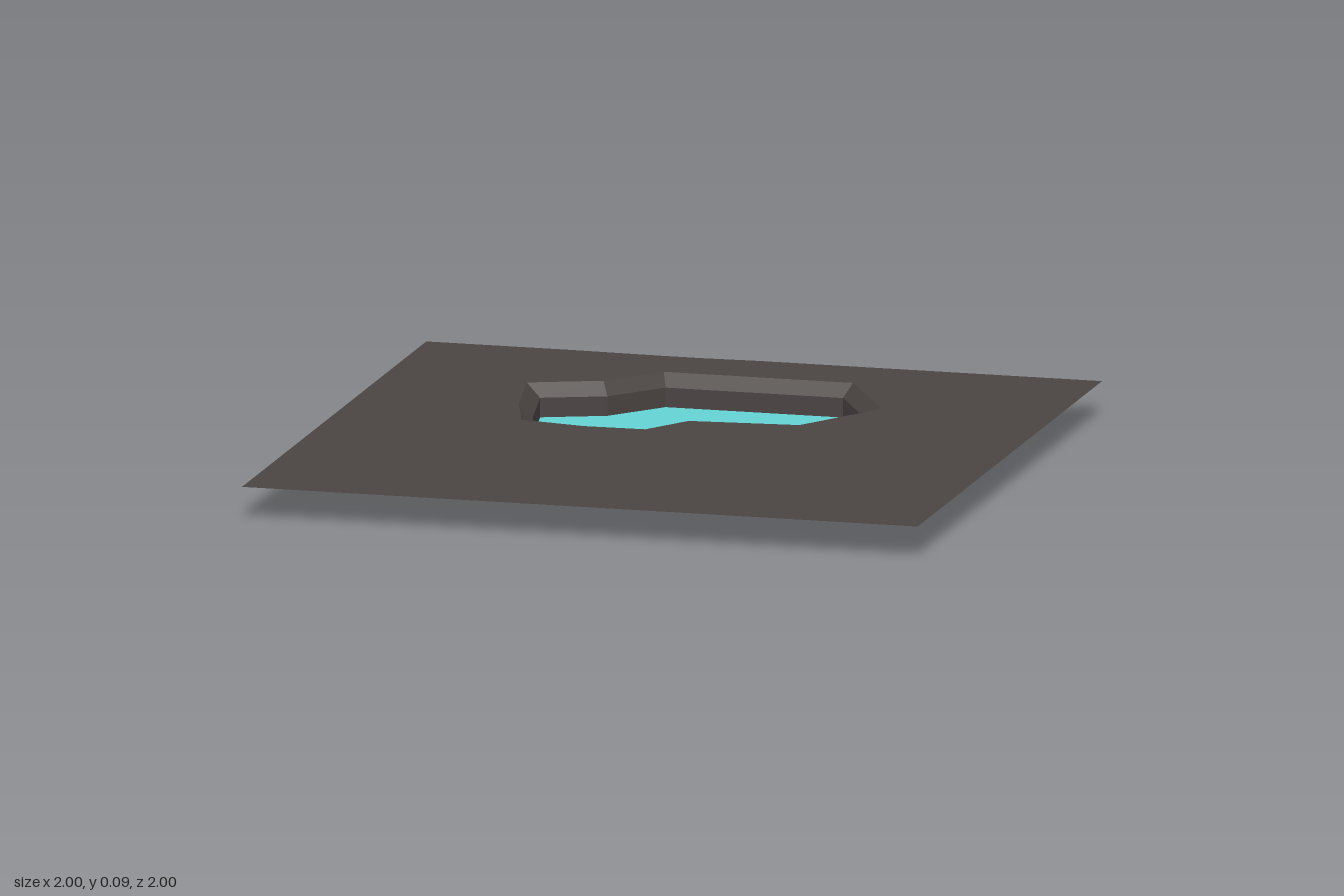
import * as THREE from 'three';

// Pool outlines as [x, z], running clockwise seen from above
const RIM = [[-0.24, -0.79], [0.32, -0.79], [0.49, -0.48], [0.32, -0.21], [0, -0.18], [-0.09, -0.04],
  [-0.27, -0.035], [-0.465, -0.07], [-0.53, -0.28], [-0.58, -0.55], [-0.375, -0.63]];
const BASIN = [[-0.225, -0.755], [0.3, -0.755], [0.45, -0.48], [0.3, -0.25], [-0.02, -0.215], [-0.11, -0.075],
  [-0.28, -0.075], [-0.44, -0.1], [-0.49, -0.29], [-0.535, -0.53], [-0.355, -0.6]];
// Ground outline, with a slight dip in the back edge
const GROUND = [[-1, -1], [-0.57, -1], [-0.3, -0.993], [-0.17, -0.993], [-0.03, -1], [1, -1], [1, 1], [-1, 1]];

const GROUND_Y = 0.095, LEDGE_Y = 0.057, WATER_Y = 0;

const toPoints = (outline) => outline.map(([x, z]) => new THREE.Vector2(x, -z));

// Flat horizontal sheet facing up, with an optional hole
function sheet(outline, y, hole) {
  const shape = new THREE.Shape(toPoints(outline));
  if (hole) shape.holes.push(new THREE.Path(toPoints(hole)));
  return new THREE.ShapeGeometry(shape).rotateX(-Math.PI / 2).translate(0, y, 0);
}

// Faceted band between two outlines, facing inward
function band(lower, lowerY, upper, upperY) {
  const positions = [];
  lower.forEach(([ax, az], i) => {
    const j = (i + 1) % lower.length;
    const a = [ax, lowerY, az], b = [lower[j][0], lowerY, lower[j][1]];
    const c = [upper[j][0], upperY, upper[j][1]], d = [upper[i][0], upperY, upper[i][1]];
    positions.push(...a, ...b, ...c, ...a, ...c, ...d);
  });
  const geometry = new THREE.BufferGeometry();
  geometry.setAttribute('position', new THREE.Float32BufferAttribute(positions, 3));
  geometry.computeVertexNormals();
  return geometry;
}

export function createModel() {
  const rock = new THREE.MeshStandardMaterial({ color: 0x4a4442, side: THREE.DoubleSide });
  rock.name = 'dark rock';
  const water = new THREE.MeshStandardMaterial({ color: 0x64d3d3, side: THREE.DoubleSide });
  water.name = 'turquoise water';

  const model = new THREE.Group();
  model.name = 'pondTile';
  const add = (name, geometry, material) => {
    const mesh = new THREE.Mesh(geometry, material);
    mesh.name = name;
    model.add(mesh);
  };

  add('ground', sheet(GROUND, GROUND_Y, RIM), rock);
  add('slopedBank', band(BASIN, LEDGE_Y, RIM, GROUND_Y), rock);
  add('basinWall', band(BASIN, WATER_Y, BASIN, LEDGE_Y), rock);
  add('waterSurface', sheet(BASIN, WATER_Y), water);
  return model;
}
